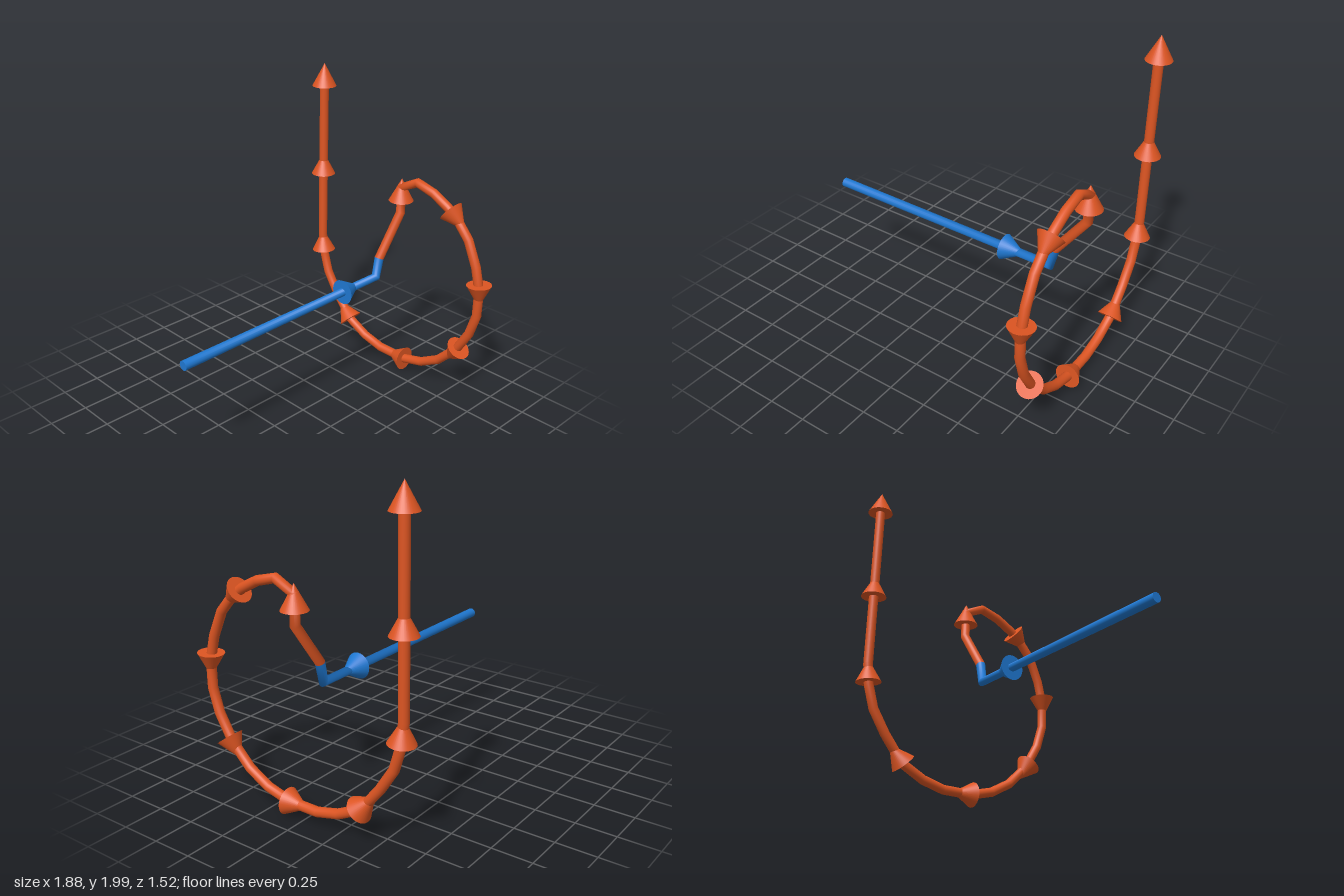
import * as THREE from 'three';

const R = 0.03, SIDES = 20, X = 0.855, Z = 0.025;

// Turn a path into rings, each square to the average direction at its point
function makeRings(points) {
  const dirs = points.slice(1).map((p, i) => p.clone().sub(points[i]).normalize());
  let n = new THREE.Vector3(0, 0, 1);
  return points.map((p, i) => {
    const t = (dirs[i - 1] || dirs[i]).clone().add(dirs[i] || dirs[i - 1]).normalize();
    n = n.clone().addScaledVector(t, -n.dot(t)).normalize();
    return { p, n, b: t.clone().cross(n) };
  });
}

// Skin a run of rings as a smooth tube
function makeTube(rings) {
  const pos = [], nor = [], idx = [];
  for (const { p, n, b } of rings) {
    for (let j = 0; j <= SIDES; j++) {
      const a = (j / SIDES) * Math.PI * 2;
      const out = n.clone().multiplyScalar(Math.cos(a)).addScaledVector(b, Math.sin(a));
      nor.push(...out);
      pos.push(...p.clone().addScaledVector(out, R));
    }
  }
  for (let i = 0; i < rings.length - 1; i++) {
    for (let j = 0; j < SIDES; j++) {
      const a = i * (SIDES + 1) + j, c = a + SIDES + 1;
      idx.push(a, a + 1, c, a + 1, c + 1, c);
    }
  }
  const g = new THREE.BufferGeometry();
  g.setAttribute('position', new THREE.Float32BufferAttribute(pos, 3));
  g.setAttribute('normal', new THREE.Float32BufferAttribute(nor, 3));
  g.setIndex(idx);
  return g;
}

export function createModel() {
  const model = new THREE.Group();
  const blue = new THREE.MeshStandardMaterial({ color: 0x1f78d1 });
  blue.name = 'blue';
  const orange = new THREE.MeshStandardMaterial({ color: 0xdd5522 });
  orange.name = 'orange';

  const add = (name, geometry, material) => {
    const mesh = new THREE.Mesh(geometry, material);
    mesh.name = name;
    model.add(mesh);
    return mesh;
  };

  // Path: straight shaft, bend, slanted riser, loop, then upright shaft
  const shaft = [[-0.94, 0.76, Z], [0.635, 0.76, Z], [0.662, 0.885, Z]];
  const riser = [[X, 1.15, Z], [X, 1.325, Z]];
  const loop = [ // z, y
    [0.155, 1.39], [0.286, 1.355], [0.40, 1.295], [0.48, 1.235], [0.573, 1.13],
    [0.645, 0.97], [0.684, 0.82], [0.682, 0.645], [0.637, 0.497], [0.545, 0.34],
    [0.41, 0.205], [0.27, 0.127], [0.11, 0.085], [-0.095, 0.085], [-0.244, 0.122],
    [-0.40, 0.20], [-0.53, 0.36], [-0.62, 0.50], [-0.664, 0.645], [-0.68, 0.78],
    [-0.68, 1.87],
  ].map(([z, y]) => [X, y, z]);
  const rings = makeRings([...shaft, ...riser, ...loop].map((p) => new THREE.Vector3(...p)));
  add('incomingShaft', makeTube(rings.slice(0, 3)), blue);
  add('loopShaft', makeTube(rings.slice(2)), orange);

  // Flat end of the straight shaft
  const cap = add('shaftEnd', new THREE.CircleGeometry(R, SIDES), blue);
  cap.rotation.y = -Math.PI / 2;
  cap.position.set(-0.94, 0.76, Z);

  // Arrowheads: base centre and direction
  const arrow = new THREE.ConeGeometry(0.08, 0.15, 32).translate(0, 0.075, 0);
  const up = new THREE.Vector3(0, 1, 0);
  const addArrow = (name, base, dir, material) => {
    const cone = add(name, arrow, material);
    cone.position.set(...base);
    cone.quaternion.setFromUnitVectors(up, new THREE.Vector3(...dir).normalize());
  };
  addArrow('incomingArrowhead', [0.32, 0.76, Z], [1, 0, 0], blue);
  [ // z, y, direction z, direction y
    [Z, 1.235, 0, 1],
    [0.425, 1.28, 0.78, -0.62],
    [0.68, 0.86, 0.06, -1],
    [0.565, 0.36, -0.6, -0.8],
    [0.122, 0.086, -1, -0.03],
    [-0.39, 0.197, -0.7, 0.7],
    [-0.668, 0.66, -0.08, 1],
    [-0.68, 1.235, 0, 1],
    [-0.68, 1.85, 0, 1],
  ].forEach(([z, y, dz, dy], i) => addArrow(`loopArrowhead${i + 1}`, [X, y, z], [0, dy, dz], orange));

  return model;
}
